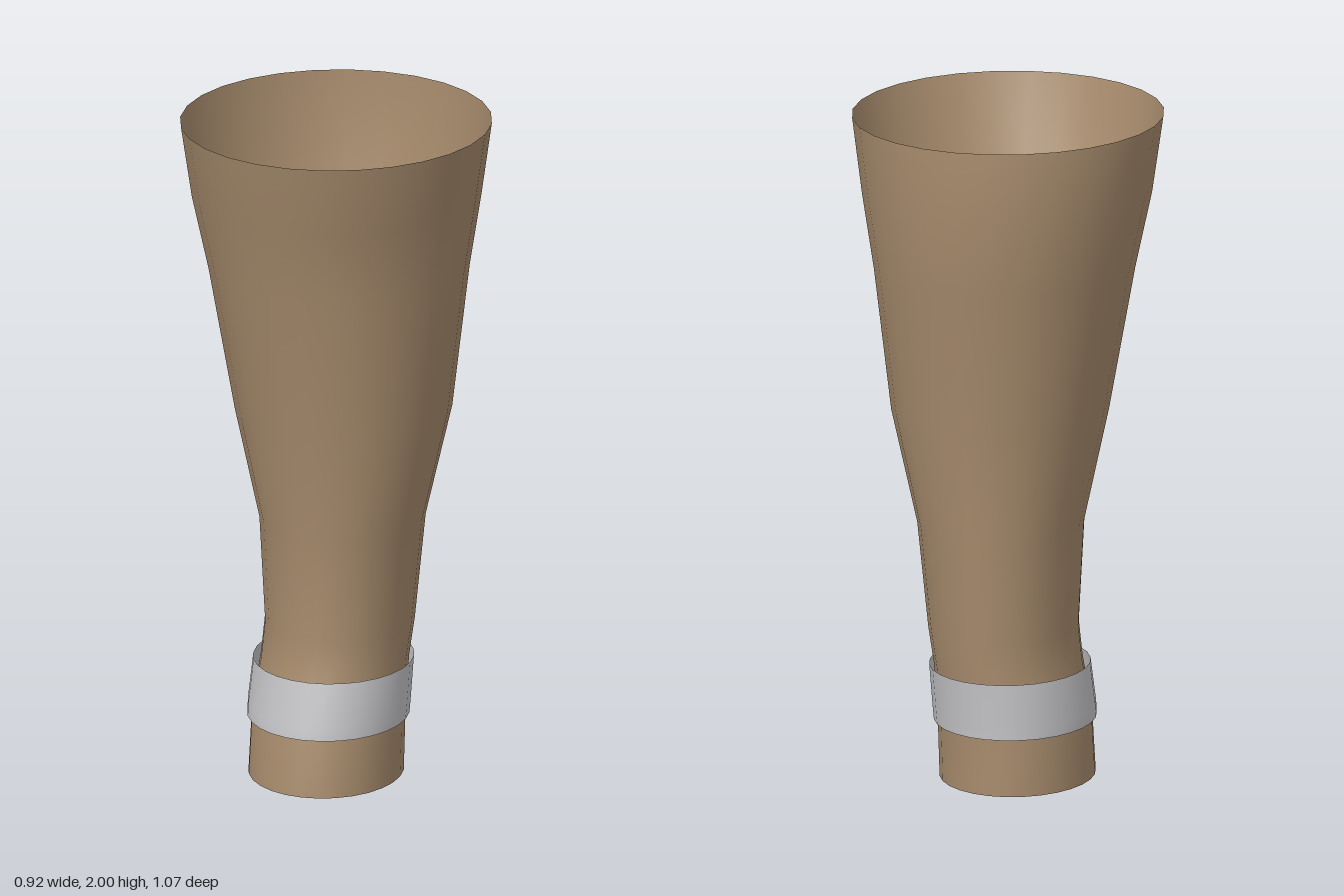
import * as THREE from 'three';

const SIDES = 28;

// Open tube through elliptical rings: [y, xMin, xMax, zBack, zFront]
function ellipseTube(rings) {
  const pos = [], index = [];
  for (const [y, x0, x1, z0, z1] of rings) {
    for (let i = 0; i < SIDES; i++) {
      const a = (i / SIDES) * Math.PI * 2;
      pos.push((x0 + x1) / 2 + Math.sin(a) * (x1 - x0) / 2, y,
        (z0 + z1) / 2 + Math.cos(a) * (z1 - z0) / 2);
    }
  }
  for (let r = 0; r < rings.length - 1; r++) {
    for (let i = 0; i < SIDES; i++) {
      const j = (i + 1) % SIDES;
      const a = r * SIDES + i, b = r * SIDES + j;
      index.push(a, b, b + SIDES, a, b + SIDES, a + SIDES);
    }
  }
  const geo = new THREE.BufferGeometry();
  geo.setAttribute('position', new THREE.Float32BufferAttribute(pos, 3));
  geo.setIndex(index);
  geo.computeVertexNormals();
  return geo;
}

export function createModel() {
  const brown = new THREE.MeshStandardMaterial({ color: 0xa98d6e, side: THREE.DoubleSide });
  brown.name = 'warm brown';
  const silver = new THREE.MeshStandardMaterial({ color: 0xc6c6c9, side: THREE.DoubleSide });
  silver.name = 'silver grey';

  const group = new THREE.Group();
  const add = (name, rings, material) => {
    const mesh = new THREE.Mesh(ellipseTube(rings), material);
    mesh.name = name;
    group.add(mesh);
  };

  // Flared sleeve, open at both ends
  add('sleeve', [
    [0, -0.26, 0.2, -0.335, 0.31],
    [0.2, -0.25, 0.205, -0.338, 0.293],
    [0.35, -0.225, 0.214, -0.345, 0.262],
    [0.46, -0.214, 0.23, -0.352, 0.256],
    [0.78, -0.232, 0.262, -0.383, 0.272],
    [1.12, -0.305, 0.342, -0.417, 0.338],
    [1.55, -0.383, 0.393, -0.49, 0.405],
    [1.78, -0.432, 0.43, -0.535, 0.478],
    [2, -0.462, 0.462, -0.537, 0.537],
  ], brown);

  // Loose band around the narrow end
  add('band', [
    [0.175, -0.264, 0.216, -0.353, 0.308],
    [0.21, -0.263, 0.219, -0.354, 0.304],
    [0.345, -0.248, 0.228, -0.362, 0.281],
  ], silver);

  return group;
}
